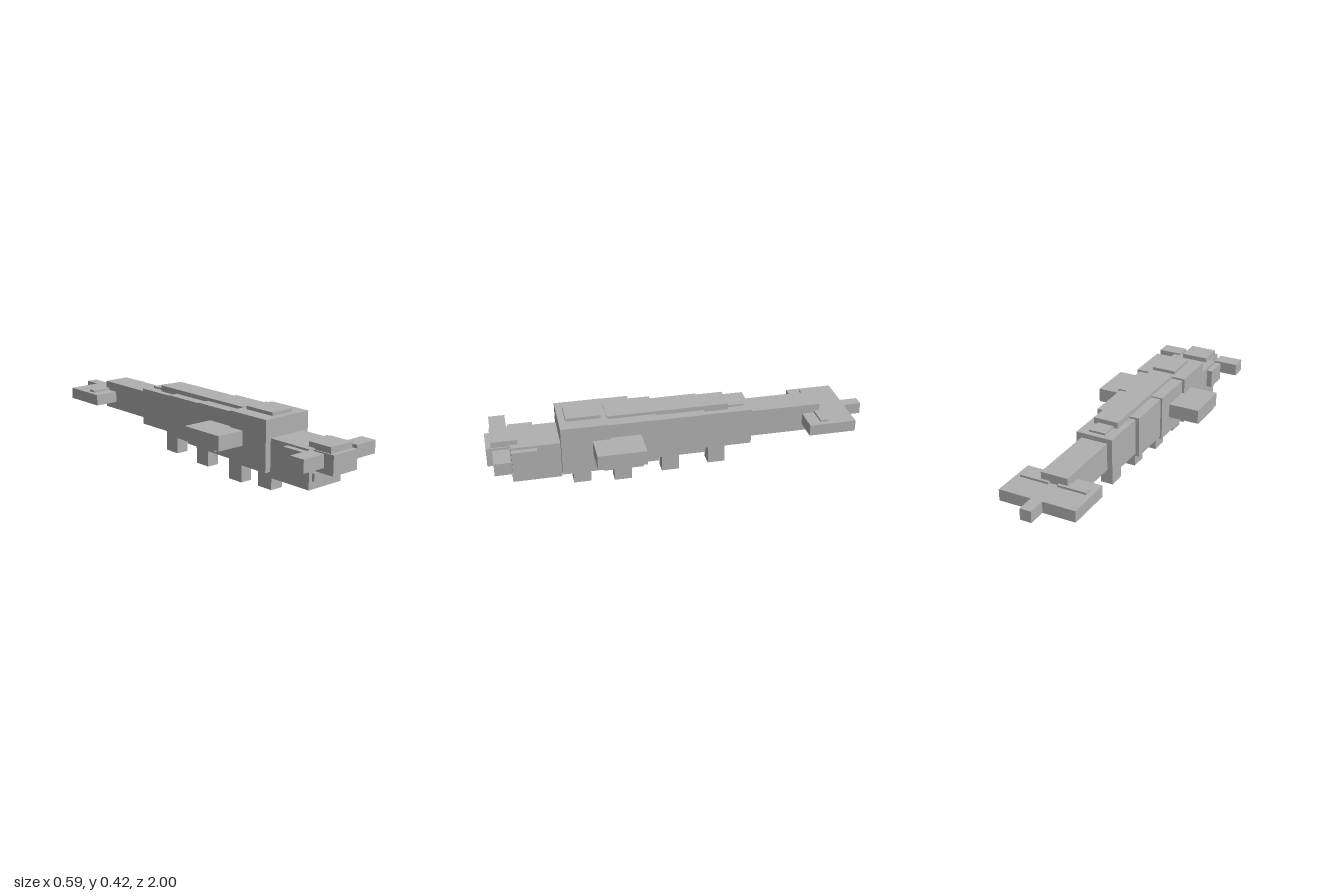
import * as THREE from 'three';

export function createModel() {
  const model = new THREE.Group();
  const grey = new THREE.MeshStandardMaterial({ color: 0xb0b0b0 });
  grey.name = 'grey';

  // Box given by its extents along x, y and z
  function box(name, [x0, x1], [y0, y1], [z0, z1]) {
    const mesh = new THREE.Mesh(new THREE.BoxGeometry(x1 - x0, y1 - y0, z1 - z0), grey);
    mesh.position.set((x0 + x1) / 2, (y0 + y1) / 2, (z0 + z1) / 2);
    mesh.name = name;
    model.add(mesh);
  }
  const centred = (name, w, y, z) => box(name, [-w, w], y, z);
  function pair(name, [x0, x1], y, z) {
    box(name + 'Left', [x0, x1], y, z);
    box(name + 'Right', [-x1, -x0], y, z);
  }

  // Body segments, tapering to the back: half width, y range, z range
  [
    [0.143, [0.14, 0.4], [0.38, 0.63]],
    [0.13, [0.15, 0.39], [0.13, 0.38]],
    [0.12, [0.163, 0.383], [-0.12, 0.13]],
    [0.1, [0.175, 0.373], [-0.37, -0.12]],
  ].forEach(([w, y, z], i) => centred('bodySegment' + (i + 1), w, y, z));

  // Head and snout
  centred('head', 0.11, [0.11, 0.306], [0.63, 0.88]);
  centred('snout', 0.081, [0.2, 0.3], [0.88, 1]);
  centred('snoutPlate', 0.074, [0.3, 0.331], [0.84, 0.975]);
  pair('tooth', [0.053, 0.088], [0.15, 0.19], [0.87, 0.893]);
  pair('sideBlock', [0.112, 0.244], [0.24, 0.306], [0.885, 0.97]);
  pair('gill', [0.12, 0.15], [0.2, 0.3], [0.75, 0.878]);

  // Back ridge and plates
  centred('backRidge', 0.067, [0.36, 0.406], [-0.25, 0.385]);
  centred('frontBackPlate', 0.066, [0.395, 0.417], [0.415, 0.595]);
  centred('rearBackPlate', 0.045, [0.365, 0.383], [-0.34, -0.245]);

  // Side fins with a thin plate below
  pair('fin', [0.125, 0.297], [0.24, 0.316], [0.22, 0.47]);
  pair('finPlate', [0.125, 0.296], [0.231, 0.24], [0.24, 0.44]);

  // Single row of legs under the belly: half width, foot height, top, z
  [
    [0.037, 0.015, 0.15, 0.52],
    [0.034, 0, 0.16, 0.304],
    [0.034, 0.024, 0.17, 0.05],
    [0.034, 0.04, 0.18, -0.201],
  ].forEach(([w, y0, y1, z], i) =>
    centred('leg' + (i + 1), w, [y0, y1], [z - 0.046, z + 0.046]));

  // Tail, tail fin and tip
  centred('tail', 0.072, [0.2, 0.348], [-0.75, -0.37]);
  centred('tailFin', 0.204, [0.24, 0.3], [-0.906, -0.657]);
  centred('tailTip', 0.03, [0.24, 0.3], [-1, -0.906]);
  pair('tailFinRib', [0.024, 0.178], [0.232, 0.311], [-0.765, -0.722]);

  return model;
}
